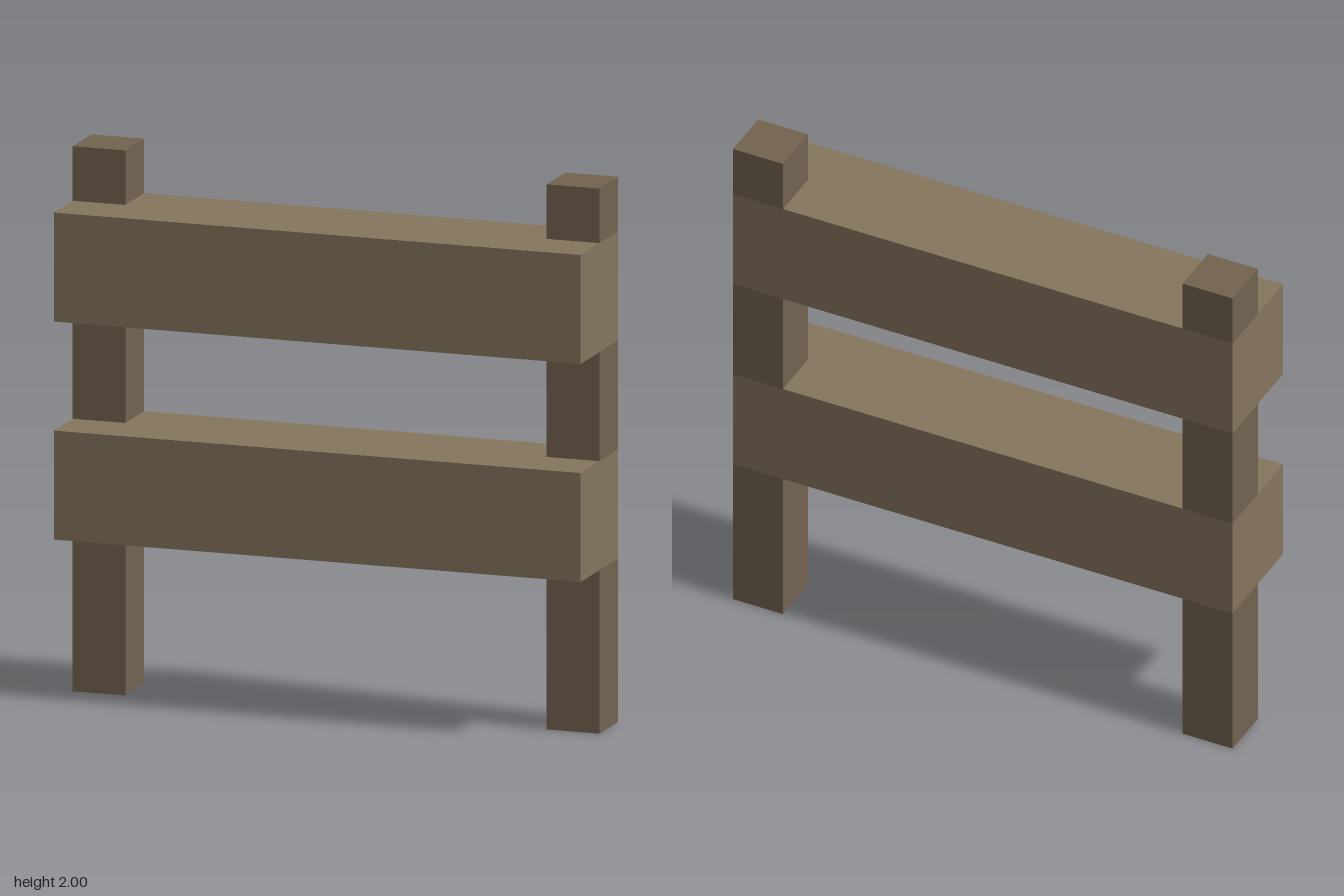
import * as THREE from 'three';

const POST_SIZE = 0.2;
const RAIL_DEPTH = 0.4;
const RAIL_SPANS = [[0.6, 1.0], [1.4, 1.8]];
const POST_SPANS = [[0, 0.6], [1.0, 1.4], [1.8, 2.0]]; // exposed lengths between the rails

export function createModel() {
  const group = new THREE.Group();
  group.name = 'fence';
  const postMaterial = new THREE.MeshStandardMaterial({ color: 0x736350 });
  const railMaterial = new THREE.MeshStandardMaterial({ color: 0x85755e });

  // Box spanning a height range, centred on x and z
  const addBox = (parent, name, material, width, depth, [bottom, top], x, z) => {
    const mesh = new THREE.Mesh(new THREE.BoxGeometry(width, top - bottom, depth), material);
    mesh.name = name;
    mesh.position.set(x, (bottom + top) / 2, z);
    parent.add(mesh);
  };

  // Posts, set at the back half of the rails and flush with their ends
  for (const [name, side] of [['leftPost', 1], ['rightPost', -1]]) {
    const post = new THREE.Group();
    post.name = name;
    POST_SPANS.forEach((span, i) =>
      addBox(post, ['postFoot', 'postMiddle', 'postTop'][i], postMaterial,
        POST_SIZE, POST_SIZE, span, side * 0.9, -0.1));
    group.add(post);
  }

  // Two thick rails across the full width
  RAIL_SPANS.forEach((span, i) =>
    addBox(group, ['lowerRail', 'upperRail'][i], railMaterial, 2, RAIL_DEPTH, span, 0, 0));

  return group;
}
